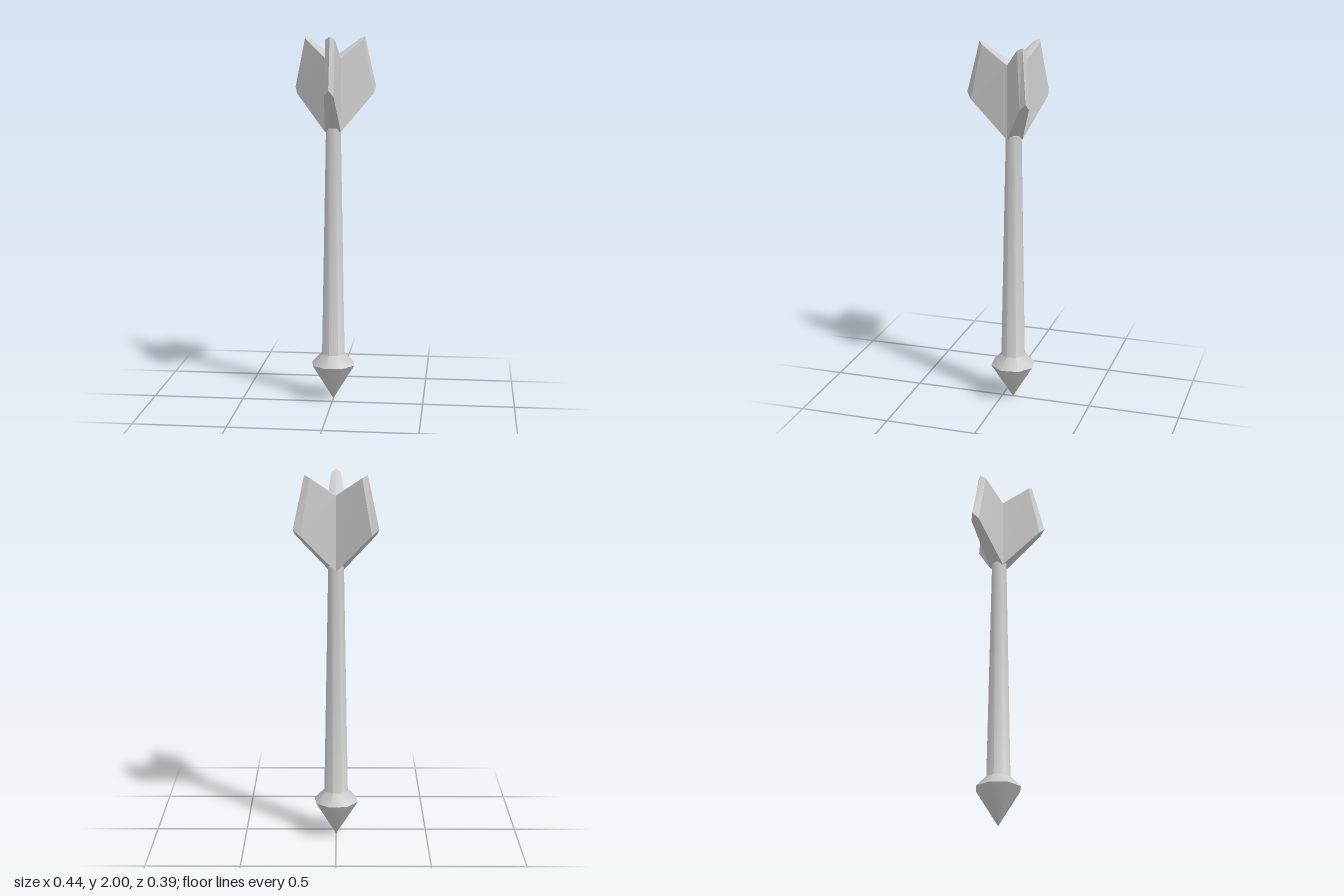
import * as THREE from 'three';
import { toCreasedNormals } from 'three/addons/utils/BufferGeometryUtils.js';

// One fin pointing along +z: a closed prism between a lower and an upper outline
function finGeometry() {
  // outline points: [x, z lower, y lower, z upper, y upper]
  const outline = [
    [0, 0, 1.49, 0, 1.885],
    [-0.0424, 0.0245, 1.49, 0.0245, 1.885],
    [-0.025, 0.228, 1.692, 0.168, 1.985],
    [0, 0.256, 1.725, 0.187, 2],
    [0.025, 0.228, 1.692, 0.168, 1.985],
    [0.0424, 0.0245, 1.49, 0.0245, 1.885],
  ];
  const low = outline.map(([x, z, y]) => [x, y, z]);
  const high = outline.map(([x, , , z, y]) => [x, y, z]);
  const positions = [];
  const tri = (a, b, c) => positions.push(...a, ...b, ...c);
  for (let i = 1; i < 5; i++) {
    tri(high[0], high[i], high[i + 1]);
    tri(low[0], low[i + 1], low[i]);
    tri(low[i], low[i + 1], high[i + 1]);
    tri(low[i], high[i + 1], high[i]);
  }
  const geometry = new THREE.BufferGeometry();
  geometry.setAttribute('position', new THREE.Float32BufferAttribute(positions, 3));
  geometry.computeVertexNormals();
  return geometry;
}

// Eight-sided turned part, smooth around and sharp at the rim
function turned(profile) {
  const points = profile.map(([r, y]) => new THREE.Vector2(r, y));
  return toCreasedNormals(new THREE.LatheGeometry(points, 8, Math.PI / 6), 0.85);
}

export function createModel() {
  const model = new THREE.Group();
  model.name = 'dart';
  const grey = new THREE.MeshStandardMaterial({ color: 0xcccccc });
  grey.name = 'light grey';

  const add = (name, geometry) => {
    const mesh = new THREE.Mesh(geometry, grey);
    mesh.name = name;
    mesh.position.z = -0.061;
    model.add(mesh);
    return mesh;
  };

  // Pointed head with a bevelled shoulder, and the tapering shaft
  add('headAndShaft', turned([[0, 0], [0.124, 0.2], [0.067, 0.26], [0.043, 1.51], [0, 1.51]]));

  // Three fins meeting on the axis
  const fin = finGeometry();
  ['frontFin', 'leftFin', 'rightFin'].forEach((name, i) => {
    add(name, fin).rotation.y = (i * Math.PI * 2) / 3;
  });

  return model;
}
